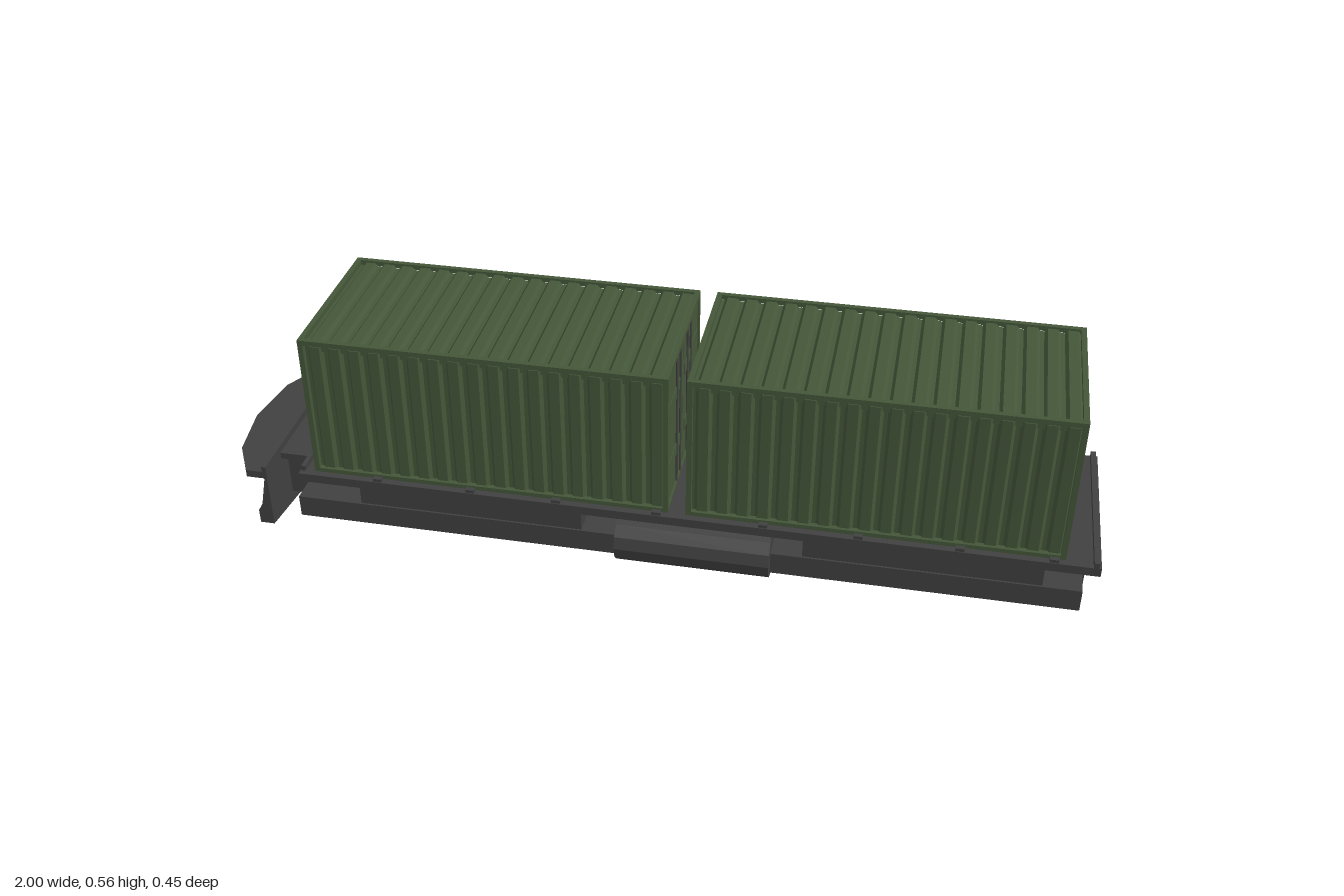
import * as THREE from 'three';

const green = new THREE.MeshStandardMaterial({ color: 0x445639, flatShading: true });
const dark = new THREE.MeshStandardMaterial({ color: 0x404040, flatShading: true });

function add(parent, name, geometry, material, x = 0, y = 0, z = 0) {
  const mesh = new THREE.Mesh(geometry, material);
  mesh.name = name;
  mesh.position.set(x, y, z);
  parent.add(mesh);
  return mesh;
}

// Box given by its extents on each axis
function block(parent, name, material, x0, x1, y0, y1, z0, z1) {
  return add(parent, name, new THREE.BoxGeometry(x1 - x0, y1 - y0, z1 - z0), material,
    (x0 + x1) / 2, (y0 + y1) / 2, (z0 + z1) / 2);
}

const extrude = (points, depth, steps = 1) => new THREE.ExtrudeGeometry(
  new THREE.Shape(points.map(([x, y]) => new THREE.Vector2(x, y))),
  { depth, steps, bevelEnabled: false });

// Trapezoid rib line along x, between heights low and high
function ribs(length, count, low, high) {
  const pitch = length / count, points = [];
  for (let i = 0; i < count; i++) {
    const x = -length / 2 + i * pitch;
    points.push([x, low], [x + pitch * 0.2, low], [x + pitch * 0.35, high], [x + pitch * 0.85, high]);
  }
  points.push([length / 2, low]);
  return points;
}

function createContainer() {
  const g = new THREE.Group();
  g.name = 'container';
  const L = 0.415, W = 0.196, Y0 = 0.207, Y1 = 0.56, t = 0.012;

  // Corrugated walls and roof
  const side = ribs(2 * L - 0.016, 18, 0.179, 0.189);
  const outline = [...side, ...side.map(([x, z]) => [x, -z]).reverse()];
  add(g, 'corrugatedWalls', extrude(outline, 0.335).rotateX(-Math.PI / 2), green, 0, Y0);
  const top = ribs(2 * L - 0.02, 18, 0.547, 0.555);
  add(g, 'corrugatedRoof', extrude([...top, [L - 0.01, 0.53], [-L + 0.01, 0.53]], 0.368), green, 0, 0, -0.184);

  // Frame of posts and rails
  for (const s of [-1, 1]) {
    for (const [a, b] of [[Y0, Y0 + t], [Y1 - t, Y1]]) {
      const rail = new THREE.BoxGeometry(2 * L, b - a, t);
      add(g, 'sideRail', rail, green, 0, (a + b) / 2, s * (W - t / 2));
      const sill = new THREE.BoxGeometry(t, b - a, 2 * W);
      add(g, 'endRail', sill, green, s * (L - t / 2), (a + b) / 2, 0);
    }
    for (const q of [-1, 1])
      add(g, 'cornerPost', new THREE.BoxGeometry(t, Y1 - Y0, t), green, s * (L - t / 2), (Y0 + Y1) / 2, q * (W - t / 2));

    // Doors with raised panels and locking rods
    for (const q of [-1, 1]) {
      add(g, 'door', new THREE.BoxGeometry(0.006, 0.33, 0.183), green, s * (L - 0.007), 0.381, q * 0.0925);
      for (const y of [0.308, 0.458])
        add(g, 'doorPanel', new THREE.BoxGeometry(0.004, 0.03, 0.161), green, s * (L - 0.004), y, q * 0.0925);
      for (const z of [0.042, 0.083])
        add(g, 'lockingRod', new THREE.CylinderGeometry(0.003, 0.003, 0.33, 6), dark, s * (L - 0.002), 0.381, q * z);
    }
  }
  return g;
}

export function createModel() {
  const model = new THREE.Group();
  model.name = 'containerWagon';

  for (const x of [-0.36, 0.51]) {
    const container = createContainer();
    container.position.x = x;
    model.add(container);
  }

  // Chassis
  block(model, 'deck', dark, -0.81, 1, 0.188, 0.209, -0.213, 0.213);
  block(model, 'centreBeam', dark, -0.89, 0.98, 0.07, 0.19, -0.104, 0.104);
  block(model, 'lowerFrame', dark, -0.84, 0.975, 0.052, 0.106, -0.168, 0.168);
  block(model, 'neckPlate', dark, -0.9, -0.8, 0.189, 0.205, -0.138, 0.138);
  block(model, 'rearLip', dark, 0.983, 0.995, 0.2, 0.222, -0.213, 0.213);
  block(model, 'frontLip', dark, -0.807, -0.797, 0.2, 0.222, -0.2, 0.2);

  for (const s of [-1, 1]) {
    // Equipment boxes hung under the deck
    for (const x of [-0.407, 0.622])
      add(model, 'equipmentBox', new THREE.BoxGeometry(0.525, 0.055, 0.068), dark, x, 0.1625, s * 0.166);

    // Side tank
    add(model, 'sideTank', new THREE.CylinderGeometry(0.057, 0.057, 0.355, 12).rotateZ(Math.PI / 2),
      dark, 0.108, 0.093, s * 0.147);

    // Wheels
    for (const x of [-0.765, -0.455, 0.54, 0.855])
      add(model, 'wheel', new THREE.CylinderGeometry(0.05, 0.05, 0.014, 20).rotateX(Math.PI / 2), dark, x, 0.05, s * 0.09);

    // Container locks along the deck edge
    for (const x of [-0.62, -0.4, -0.2, 0.03, 0.27, 0.48, 0.7, 0.9])
      add(model, 'deckLock', new THREE.BoxGeometry(0.02, 0.009, 0.012), dark, x, 0.2125, s * 0.205);
  }

  // Bowed platform above the plough
  const plan = [[-0.885, 0.223], [-0.935, 0.223], [-0.98, 0.14], [-1, 0]];
  const platform = [...plan, ...plan.slice(0, 3).map(([x, z]) => [x, -z]).reverse()];
  add(model, 'ploughPlatform', extrude(platform, 0.018).rotateX(-Math.PI / 2), dark, 0, 0.19);

  // Plough blade: concave section, swept back and raised towards its ends
  const section = [[-0.885, 0.222], [-0.897, 0.222], [-0.905, 0.15], [-0.928, 0.08], [-0.937, 0.065], [-0.937, 0.03], [-0.885, 0.03]];
  const blade = extrude(section, 0.446, 8).translate(0, 0, -0.223);
  const p = blade.attributes.position;
  for (let i = 0; i < p.count; i++) {
    const s = Math.abs(p.getZ(i)) / 0.223, x = p.getX(i), y = p.getY(i);
    if (x < -0.9) p.setX(i, x + 0.018 * s * s);
    if (y < 0.1) p.setY(i, y + 0.03 * s);
  }
  blade.computeVertexNormals();
  add(model, 'ploughBlade', blade, dark);

  return model;
}
